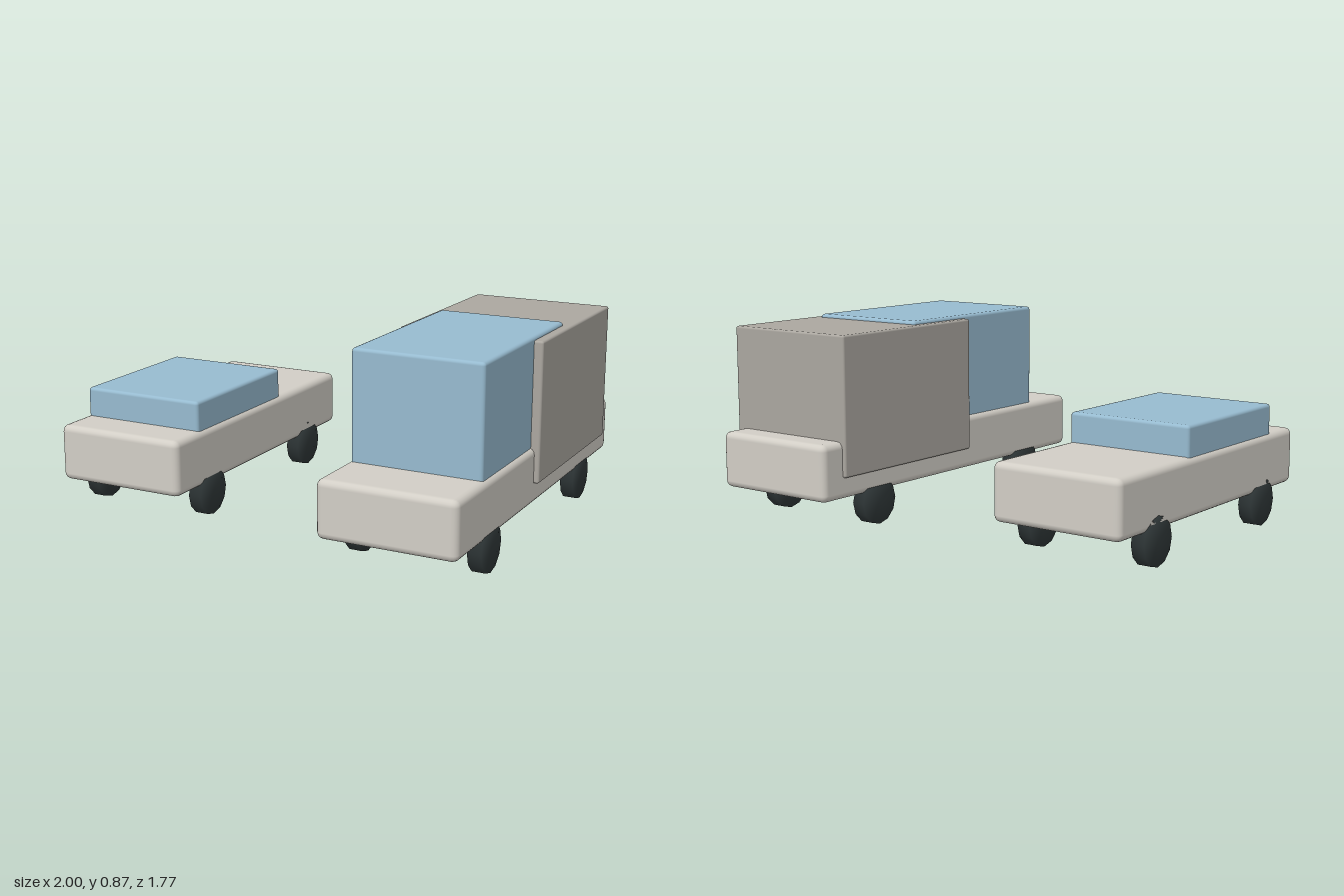
import * as THREE from 'three';
import { RoundedBoxGeometry } from 'three/addons/geometries/RoundedBoxGeometry.js';
import { mergeVertices } from 'three/addons/utils/BufferGeometryUtils.js';

const material = (name, color) => {
  const m = new THREE.MeshStandardMaterial({ color });
  m.name = name;
  return m;
};

// Rounded box given by its [min, max] extents on each axis
function block(name, mat, [x0, x1], [y0, y1], [z0, z1], radius) {
  const geo = new RoundedBoxGeometry(x1 - x0, y1 - y0, z1 - z0, 2, radius);
  const mesh = new THREE.Mesh(geo, mat);
  mesh.name = name;
  mesh.position.set((x0 + x1) / 2, (y0 + y1) / 2, (z0 + z1) / 2);
  return mesh;
}

// Twelve-sided wheel with normals shared between rim and caps
function wheelGeometry(radius, width) {
  let geo = new THREE.CylinderGeometry(radius, radius, width, 12);
  geo.rotateZ(Math.PI / 2);
  geo.deleteAttribute('normal');
  geo.deleteAttribute('uv');
  geo = mergeVertices(geo, 1e-4);
  geo.computeVertexNormals();
  return geo;
}

export function createModel() {
  const paint = material('body paint', 0xd2cec6);
  const glass = material('blue cabin', 0x97bbd0);
  const cargoGrey = material('cargo grey', 0xaba7a0);
  const rubber = material('dark rubber', 0x303839);
  const wheelGeo = wheelGeometry(0.105, 0.06);

  // Four wheels mirrored about the vehicle's centre
  function addWheels(vehicle, centreX, halfTrack, halfBase) {
    for (const sx of [-1, 1]) {
      for (const sz of [-1, 1]) {
        const wheel = new THREE.Mesh(wheelGeo, rubber);
        wheel.name = (sz > 0 ? 'front' : 'rear') + (sx > 0 ? 'Left' : 'Right') + 'Wheel';
        wheel.position.set(centreX + sx * halfTrack, 0.105, sz * halfBase);
        vehicle.add(wheel);
      }
    }
  }

  // Low car
  const car = new THREE.Group();
  car.name = 'car';
  car.add(
    block('carBody', paint, [-1, -0.39], [0.15, 0.4], [-0.715, 0.715], 0.03),
    block('carCabin', glass, [-0.985, -0.405], [0.33, 0.53], [-0.185, 0.525], 0.015),
  );
  addWheels(car, -0.695, 0.275, 0.435);

  // Tall van with a cargo box wider than its body
  const van = new THREE.Group();
  van.name = 'van';
  van.add(
    block('vanBody', paint, [0.367, 0.977], [0.15, 0.4], [-0.887, 0.887], 0.03),
    block('vanCabin', glass, [0.385, 0.96], [0.33, 0.873], [-0.27, 0.612], 0.015),
    block('cargoBox', cargoGrey, [0.35, 1], [0.245, 0.857], [-0.77, 0.085], 0.01),
  );
  addWheels(van, 0.672, 0.273, 0.537);

  const model = new THREE.Group();
  model.name = 'vehiclePair';
  model.add(car, van);
  return model;
}
